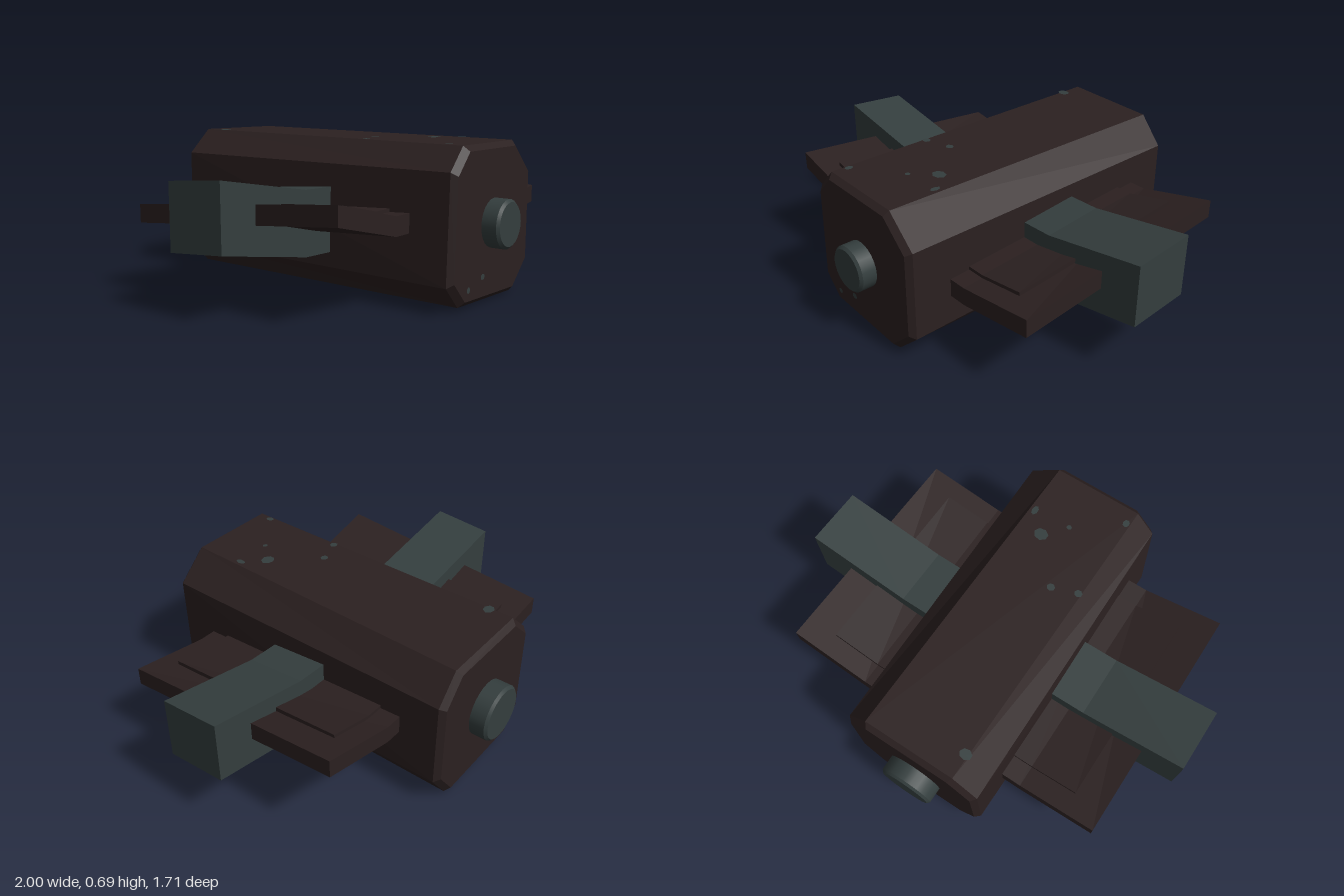
import * as THREE from 'three';

const hull = new THREE.MeshStandardMaterial({ color: 0x2b2020 });
hull.name = 'darkBrown';
const metal = new THREE.MeshStandardMaterial({ color: 0x343e3e });
metal.name = 'slateGrey';

// Flat-shaded solid through matching cross-sections, capped at both ends
function loft(sections) {
  const pos = [];
  const tri = (...p) => p.forEach((v) => pos.push(...v));
  const n = sections[0].length;
  for (let s = 0; s < sections.length - 1; s++) {
    const a = sections[s], b = sections[s + 1];
    for (let i = 0; i < n; i++) {
      const j = (i + 1) % n;
      tri(a[i], a[j], b[j]);
      tri(a[i], b[j], b[i]);
    }
  }
  const first = sections[0], last = sections[sections.length - 1];
  for (let i = 1; i < n - 1; i++) {
    tri(first[0], first[i + 1], first[i]);
    tri(last[0], last[i], last[i + 1]);
  }
  const g = new THREE.BufferGeometry();
  g.setAttribute('position', new THREE.Float32BufferAttribute(pos, 3));
  g.computeVertexNormals();
  return g;
}

function add(parent, name, geometry, material) {
  const m = new THREE.Mesh(geometry, material);
  m.name = name;
  parent.add(m);
  return m;
}

// Slab running along x; bottom(x, z) gives the height of its underside
const slab = (xs, zHalf, height, bottom) => loft(xs.map((x) => {
  const f = bottom(x, zHalf), b = bottom(x, -zHalf);
  return [[x, f, zHalf], [x, b, -zHalf], [x, b + height, -zHalf], [x, f + height, zHalf]];
}));

// Underside of the fin: rises outward, more steeply toward the back
function finBottom(x, z) {
  const t = Math.max(0, (x - 0.43) / 0.38);
  const k = (0.56 - z) / 1.12;
  return THREE.MathUtils.lerp(0.26 + 0.055 * t, 0.325 + 0.095 * t, k);
}

// Underside of the bar: nearly level, then bent upward
function barBottom(x, z) {
  const y = x <= 0.5 ? 0.18 + 0.03 * (x - 0.35) : 0.187 + 0.182 * (x - 0.5);
  return y - 0.086 * z;
}

export function createModel() {
  const model = new THREE.Group();
  model.name = 'model';

  // Chamfered body, slightly uneven, with bevelled ends
  const front = [[-0.25, 0.02], [0.21, 0.0], [0.34, 0.12], [0.345, 0.55],
    [0.2, 0.685], [-0.23, 0.69], [-0.325, 0.59], [-0.345, 0.12]];
  const back = [[-0.24, 0.02], [0.25, 0.005], [0.35, 0.14], [0.35, 0.55],
    [0.24, 0.68], [-0.21, 0.69], [-0.33, 0.58], [-0.335, 0.13]];
  const section = (pts, z, s) => pts.map(([x, y]) => [x * s, 0.345 + (y - 0.345) * s, z]);
  add(model, 'body', loft([
    section(back, -0.77, 0.93), section(back, -0.745, 1),
    section(front, 0.745, 1), section(front, 0.77, 0.93),
  ]), hull);

  // Round end caps with a small bevel
  const cap = (name, r, length, dir) => {
    const profile = [[0, 0], [r, 0], [r, length - 0.012], [r - 0.012, length], [0, length]];
    const pts = [];
    // Doubled points keep the rims sharp
    profile.forEach(([x, y], i) => {
      pts.push(new THREE.Vector2(x, y));
      if (i > 0 && i < 4) pts.push(new THREE.Vector2(x, y));
    });
    const m = add(model, name, new THREE.LatheGeometry(pts, 24), metal);
    m.rotation.x = dir * Math.PI / 2;
    m.position.set(0, 0.345, dir * 0.75);
  };
  cap('frontCap', 0.108, 0.1, 1);
  cap('backCap', 0.132, 0.105, -1);

  // Each side repeats the other after a half turn
  for (const [name, angle] of [['leftSide', 0], ['rightSide', Math.PI]]) {
    const side = new THREE.Group();
    side.name = name;
    side.rotation.y = angle;
    add(side, 'bar', slab([0.26, 0.5, 1], 0.145, 0.292, barBottom), metal);
    add(side, 'fin', slab([0.26, 0.43, 0.81], 0.56, 0.085, finBottom), hull);
    add(side, 'finPanel', slab([0.26, 0.43, 0.66], 0.46, 0.02,
      (x, z) => finBottom(x, z) + 0.08), hull);
    model.add(side);
  }

  // Worn flecks on the top and front faces
  const fleck = (x, y, z, w, h, tilt) => {
    const m = add(model, 'wornFleck', new THREE.CircleGeometry(1, 7), metal);
    m.scale.set(w, h, 1);
    m.position.set(x, y, z);
    m.rotation.x = tilt;
  };
  for (const [x, z, w, h] of [[-0.2, -0.63, 0.03, 0.025], [-0.09, 0.21, 0.02, 0.018],
    [-0.21, 0.25, 0.02, 0.018], [0.09, 0.41, 0.035, 0.03], [0.18, 0.5, 0.015, 0.025],
    [0, 0.51, 0.013, 0.012], [-0.21, 0.67, 0.016, 0.02]]) {
    fleck(x, 0.692 - 0.012 * (x + 0.23), z, w, h, -Math.PI / 2);
  }
  fleck(-0.21, 0.09, 0.773, 0.014, 0.014, 0);
  fleck(-0.09, 0.125, 0.773, 0.018, 0.014, 0);

  return model;
}
